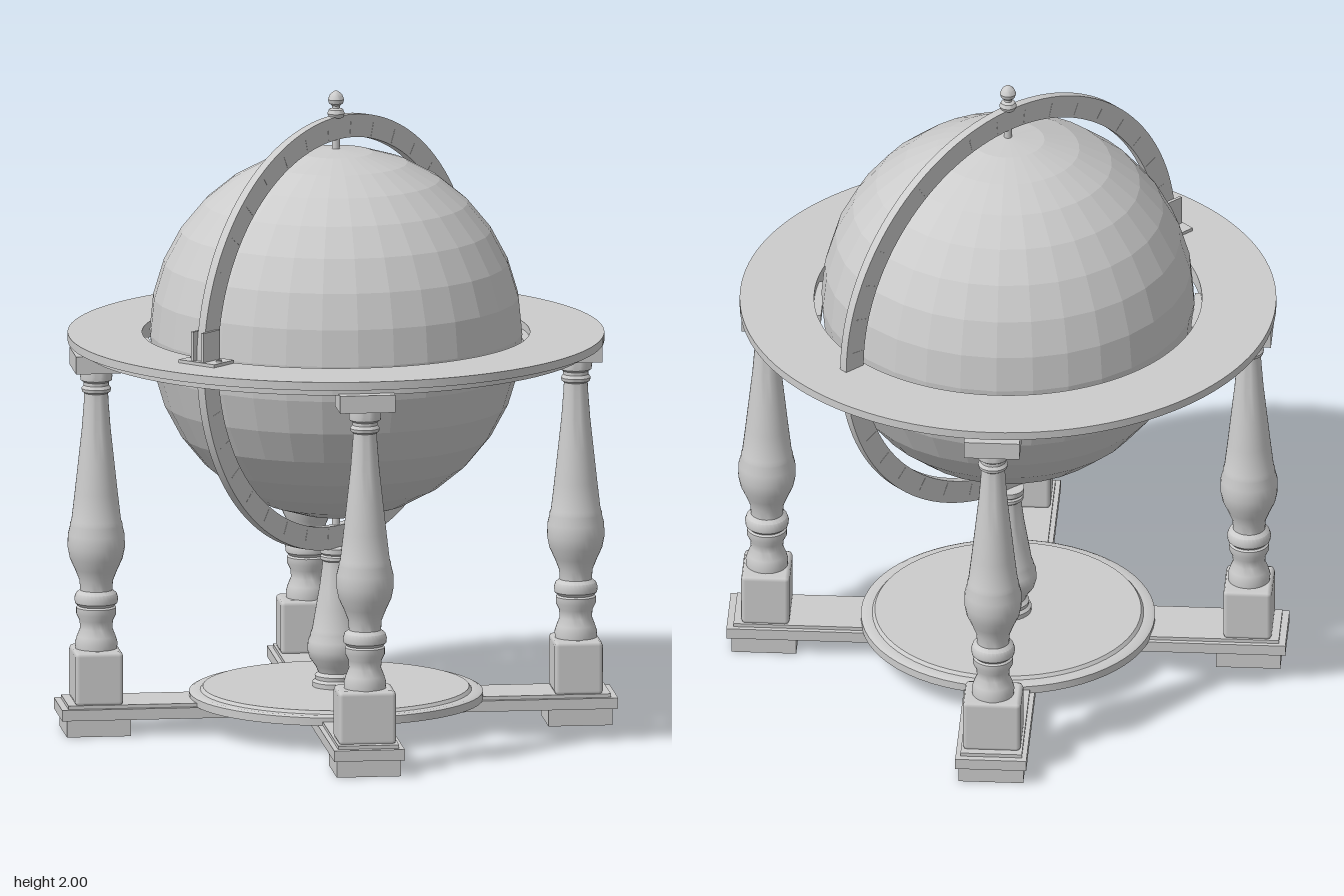
import * as THREE from 'three';
import { toCreasedNormals } from 'three/addons/utils/BufferGeometryUtils.js';
import { RoundedBoxGeometry } from 'three/addons/geometries/RoundedBoxGeometry.js';

const material = new THREE.MeshStandardMaterial({ color: 0xcccccc });
const flat = new THREE.MeshStandardMaterial({ color: 0xcccccc, flatShading: true });

function add(parent, name, geometry, x = 0, y = 0, z = 0, mat = material) {
  const mesh = new THREE.Mesh(geometry, mat);
  mesh.name = name;
  mesh.position.set(x, y, z);
  parent.add(mesh);
  return mesh;
}

// Box given by its x range, y range and z width
function slab(parent, name, x0, x1, y0, y1, width, z = 0) {
  return add(parent, name, new THREE.BoxGeometry(x1 - x0, y1 - y0, width), (x0 + x1) / 2, (y0 + y1) / 2, z);
}

// Turned part from [radius, height] pairs, listed bottom to top
function turned(points, sides = 32) {
  const profile = points.map(([r, y]) => new THREE.Vector2(r, y));
  return toCreasedNormals(new THREE.LatheGeometry(profile, sides), 0.6);
}

// Flat annulus in the xy plane, extruded along z
function annulus(outer, inner, depth) {
  const shape = new THREE.Shape().absarc(0, 0, outer, 0, Math.PI * 2);
  shape.holes.push(new THREE.Path().absarc(0, 0, inner, 0, Math.PI * 2, true));
  const geometry = new THREE.ExtrudeGeometry(shape, { depth, bevelEnabled: false, curveSegments: 64 });
  return toCreasedNormals(geometry, 0.6);
}

const CENTER = 1.24;   // height of the globe's centre
const LEG = 0.747;     // distance of each leg from the axis

const legProfile = [
  [0, 0.255], [0.064, 0.255], [0.066, 0.28], [0.06, 0.3], [0.05, 0.325], [0.052, 0.35], [0.062, 0.37],
  [0.062, 0.39], [0.056, 0.395], [0.066, 0.405], [0.068, 0.42], [0.063, 0.435], [0.05, 0.445],
  [0.052, 0.475], [0.066, 0.51], [0.082, 0.545], [0.089, 0.58], [0.088, 0.62], [0.081, 0.648],
  [0.081, 0.655], [0.077, 0.665], [0.067, 0.75], [0.056, 0.85], [0.045, 0.95], [0.038, 1.04],
  [0.037, 1.065], [0.044, 1.07], [0.046, 1.08], [0.039, 1.09], [0.039, 1.1], [0.049, 1.107],
  [0.05, 1.12], [0.048, 1.145], [0, 1.145],
];

const pedestalProfile = [
  [0, 0.11], [0.072, 0.115], [0.073, 0.14], [0.064, 0.148], [0.066, 0.16], [0.055, 0.17], [0.064, 0.19],
  [0.082, 0.215], [0.089, 0.24], [0.087, 0.27], [0.079, 0.286], [0.079, 0.293], [0.074, 0.305],
  [0.063, 0.37], [0.051, 0.44], [0.043, 0.5], [0.042, 0.52], [0.048, 0.525], [0.048, 0.535],
  [0.043, 0.54], [0.05, 0.546], [0.05, 0.562], [0, 0.565],
];

const finialProfile = [
  [0, 1.91], [0.022, 1.915], [0.027, 1.928], [0.022, 1.94], [0.012, 1.945], [0.012, 1.952],
  [0.022, 1.96], [0.025, 1.972], [0.019, 1.987], [0.008, 1.997], [0, 2],
];

// One leg with its foot, plinth and cap, pointing along +x
function makeLeg() {
  const leg = new THREE.Group();
  leg.name = 'leg';
  slab(leg, 'foot', 0.65, 0.85, 0, 0.06, 0.2);
  add(leg, 'plinth', new RoundedBoxGeometry(0.15, 0.17, 0.18, 1, 0.014), LEG, 0.177, 0);
  add(leg, 'column', turned(legProfile), LEG);
  slab(leg, 'capBlock', 0.68, 0.82, 1.14, 1.195, 0.172);
  slab(leg, 'capBracket', 0.573, 0.78, 1.191, 1.216, 0.21);
  return leg;
}

export function createModel() {
  const model = new THREE.Group();
  model.name = 'floorGlobe';

  // Crossed base beams and the four legs
  for (let i = 0; i < 4; i++) {
    const quarter = new THREE.Group();
    quarter.name = 'baseQuarter';
    quarter.rotation.y = Math.PI / 4 + i * Math.PI / 2;
    slab(quarter, 'beam', 0, 0.866, 0.053, 0.087, 0.22);
    slab(quarter, 'beamTop', 0, 0.845, 0.087, 0.098, 0.19);
    quarter.add(makeLeg());
    model.add(quarter);
  }

  // Round base tray and the central pedestal
  add(model, 'tray', turned([
    [0, 0.085], [0.455, 0.085], [0.455, 0.11], [0.445, 0.115], [0.42, 0.115], [0.412, 0.125], [0, 0.125],
  ], 64));
  add(model, 'pedestal', turned(pedestalProfile));

  // Globe on its axis
  add(model, 'globe', new THREE.SphereGeometry(0.578, 32, 16), 0, CENTER, 0, flat);
  add(model, 'axis', new THREE.CylinderGeometry(0.012, 0.012, 1.3, 16), 0, CENTER, 0);
  add(model, 'finial', turned(finialProfile, 24));

  // Upright meridian ring with degree marks
  add(model, 'meridianRing', annulus(0.68, 0.608, 0.028), 0, CENTER, -0.014);
  const marks = new THREE.Group();
  marks.name = 'degreeMarks';
  marks.position.y = CENTER;
  for (let i = 0; i < 36; i++) {
    const a = (i + 0.5) * Math.PI / 18;
    const mark = add(marks, 'degreeMark', new THREE.BoxGeometry(0.042, 0.003, 0.0296),
      Math.cos(a) * 0.636, Math.sin(a) * 0.636, 0);
    mark.rotation.z = a;
  }
  model.add(marks);

  // Horizon ring in two layers
  add(model, 'horizonRing', annulus(0.83, 0.6, 0.026), 0, 1.24, 0).rotation.x = Math.PI / 2;
  add(model, 'horizonUnderRing', annulus(0.785, 0.6, 0.025), 0, 1.215, 0).rotation.x = Math.PI / 2;

  // Clamp holding the meridian ring on the right side
  const clamp = new THREE.Group();
  clamp.name = 'clamp';
  slab(clamp, 'clampPlate', -0.7, -0.6, 1.238, 1.25, 0.14);
  for (const side of [-1, 1]) {
    slab(clamp, 'clampCheek', -0.695, -0.612, 1.245, 1.342, 0.01, side * 0.02);
    add(clamp, 'screw', new THREE.CylinderGeometry(0.01, 0.01, 0.006, 16), -0.65, 1.252, side * 0.05);
  }
  model.add(clamp);

  return model;
}
